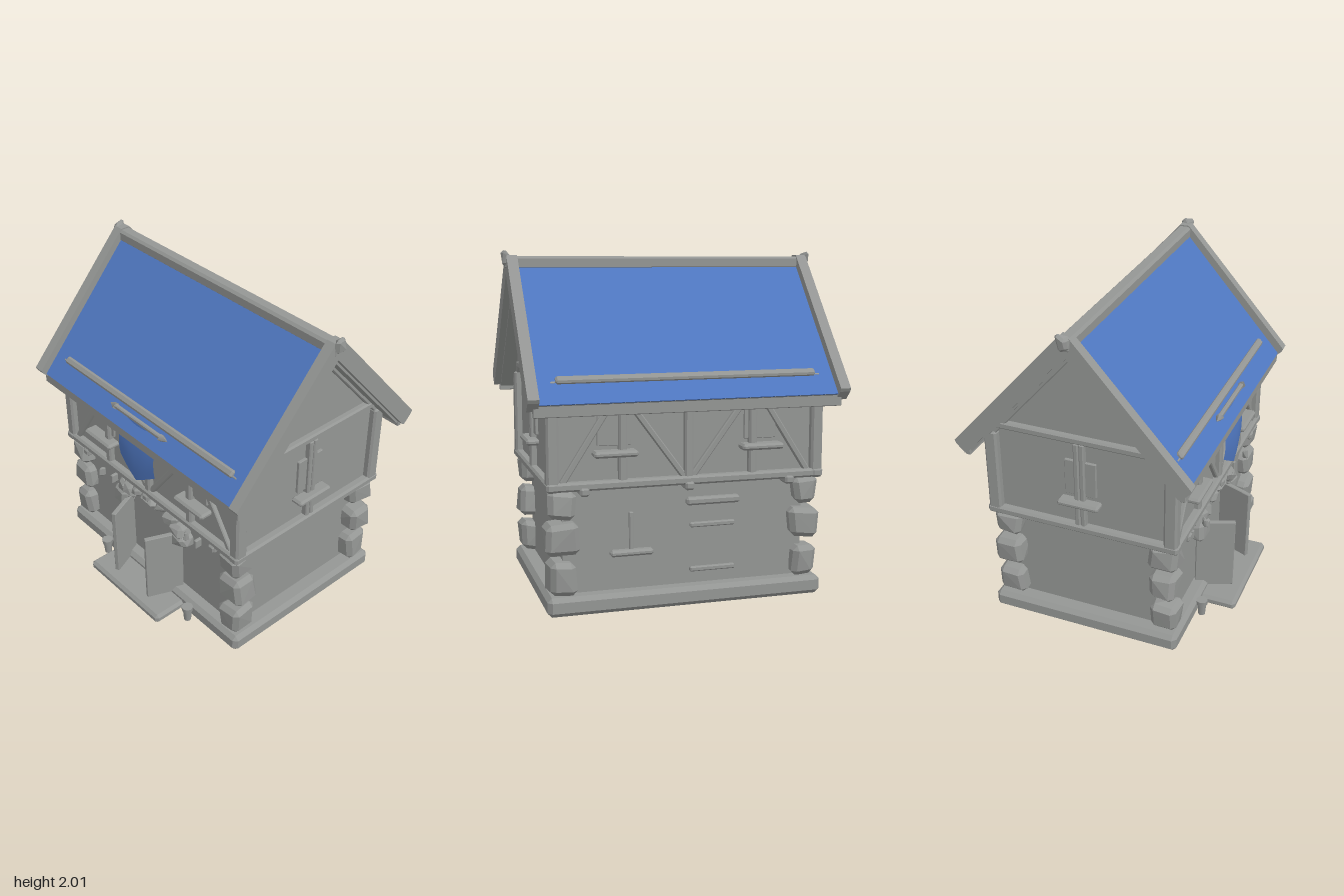
import * as THREE from 'three';
import { ConvexGeometry } from 'three/addons/geometries/ConvexGeometry.js';

const grey = new THREE.MeshStandardMaterial({ color: 0x949694 });
grey.name = 'timber and stone grey';
const blue = new THREE.MeshStandardMaterial({ color: 0x4f77c0, side: THREE.DoubleSide });
blue.name = 'roof blue';

const MID = -0.05;            // z of the ridge line
const SLOPE = 1.13;           // roof rise over run
const PITCH = Math.atan(SLOPE);

let seed = 7;
const rand = () => {
  seed = (seed * 16807) % 2147483647;
  return seed / 2147483647 - 0.5;
};

function add(parent, name, geometry, x = 0, y = 0, z = 0, material = grey) {
  const mesh = new THREE.Mesh(geometry, material);
  mesh.name = name;
  mesh.position.set(x, y, z);
  parent.add(mesh);
  return mesh;
}

// Box with chamfered edges; jitter makes it a rough stone
function block(w, h, d, c = 0.01, jitter = 0) {
  const points = [];
  for (const sx of [-1, 1]) for (const sy of [-1, 1]) for (const sz of [-1, 1]) {
    const jx = rand() * jitter, jy = rand() * jitter, jz = rand() * jitter;
    for (let axis = 0; axis < 3; axis++) {
      const cut = [c, c, c];
      cut[axis] = 0;
      points.push(new THREE.Vector3(
        sx * (w / 2 - cut[0]) + jx, sy * (h / 2 - cut[1]) + jy, sz * (d / 2 - cut[2]) + jz));
    }
  }
  return new ConvexGeometry(points);
}

// Prism along x from a (z, y) outline, centred on x = 0
function prism(outline, width) {
  const shape = new THREE.Shape(outline.map(([z, y]) => new THREE.Vector2(z, y)));
  return new THREE.ExtrudeGeometry(shape, { depth: width, bevelEnabled: false })
    .translate(0, 0, -width / 2).rotateY(-Math.PI / 2);
}

// Straight timber between two points of a wall plane
function brace(parent, name, [x1, y1], [x2, y2], z, w = 0.035) {
  const mesh = add(parent, name, block(w, Math.hypot(x2 - x1, y2 - y1), 0.04, 0.006),
    (x1 + x2) / 2, (y1 + y2) / 2, z);
  mesh.rotation.z = -Math.atan2(x2 - x1, y2 - y1);
}

function wallGroup(parent, name, turn) {
  const group = new THREE.Group();
  group.name = name;
  group.position.z = MID;
  group.rotation.y = turn;
  parent.add(group);
  return group;
}

// Timber frame and windows of a long upper wall
function longWall(parent, name, turn) {
  const g = wallGroup(parent, name, turn);
  add(g, 'sillBeam', block(1.62, 0.05, 0.06, 0.012), 0, 0.735, 0.555);
  add(g, 'centrePost', block(0.05, 0.5, 0.05), 0, 0.98, 0.55);
  for (const s of [-1, 1]) {
    add(g, 'windowPanel', block(0.19, 0.22, 0.02, 0.003), s * 0.427, 1.06, 0.543);
    add(g, 'windowPost', block(0.048, 0.5, 0.05), s * 0.38, 0.98, 0.55);
    add(g, 'windowSill', block(0.25, 0.036, 0.09, 0.012), s * 0.427, 0.91, 0.575);
    brace(g, 'outerBrace', [s * 0.72, 0.75], [s * 0.45, 1.17], 0.545);
    brace(g, 'innerBrace', [s * 0.02, 0.75], [s * 0.33, 1.17], 0.545);
  }
}

// Timber frame and window of a gable wall
function gableWall(parent, name, turn) {
  const g = wallGroup(parent, name, turn);
  add(g, 'sillBeam', block(1.16, 0.05, 0.06, 0.012), 0, 0.735, 0.78);
  add(g, 'tieBeam', block(1.06, 0.045, 0.05), 0, 1.308, 0.775);
  add(g, 'windowPanel', block(0.19, 0.22, 0.02, 0.003), 0, 1.06, 0.772);
  for (const s of [-1, 1]) {
    add(g, 'windowPost', block(0.03, 0.54, 0.05, 0.006), s * 0.017, 1.02, 0.775);
    brace(g, 'gableTrim', [s * 0.52, 1.255], [0, 1.845], 0.775, 0.03);
  }
  add(g, 'windowSill', block(0.25, 0.036, 0.08, 0.012), 0, 0.91, 0.8);
}

function roof(parent) {
  const g = wallGroup(parent, 'roof', 0);
  // Slab and its blue covering
  add(g, 'roofSlab', prism([[0.658, 1.198], [0, 1.942], [-0.658, 1.198],
    [-0.613, 1.158], [0, 1.852], [0.613, 1.158]], 1.76));
  const length = Math.hypot(0.66, 0.66 * SLOPE);
  for (const s of [-1, 1]) {
    const cover = add(g, 'roofCovering', new THREE.BoxGeometry(1.74, 0.006, length),
      0, 1.573, s * 0.33, blue);
    cover.rotation.x = s * PITCH;
    add(g, 'eaveBoard', block(1.77, 0.068, 0.03, 0.004), 0, 1.165, s * 0.637);
    // Snow bar with end pins
    const bar = add(g, 'snowBar', block(1.5, 0.045, 0.045), 0, 1.315, s * 0.56);
    bar.rotation.x = s * PITCH;
    add(g, 'snowBarPin', block(1.56, 0.022, 0.022, 0.005), 0, 1.302, s * 0.56);
    // Barge boards at the gable ends
    add(g, 'bargeBoards', prism([[0.695, 1.235], [0.03, 1.98], [-0.03, 1.98], [-0.695, 1.235],
      [-0.685, 1.215], [-0.635, 1.165], [-0.62, 1.169], [0, 1.872], [0.62, 1.169],
      [0.635, 1.165], [0.685, 1.215]], 0.062), s * 0.888);
    add(g, 'ridgeKnob', block(0.045, 0.08, 0.06, 0.015, 0.025), s * 0.92, 1.955, 0);
  }
  add(g, 'ridgeBeam', block(1.85, 0.075, 0.08, 0.014), 0, 1.935, 0);
}

function doorway(parent) {
  const g = new THREE.Group();
  g.name = 'doorway';
  parent.add(g);
  add(g, 'doorStep', block(0.67, 0.06, 0.3, 0.018), 0, 0.048, 0.595);
  // Open door leaves, leaning inward at the front
  for (const s of [-1, 1]) {
    const leaf = add(g, 'doorLeaf', block(0.03, 0.47, 0.235, 0.004), s * 0.198, 0.315, 0.565);
    leaf.rotation.y = -s * 0.4;
    // Rough arch stones
    for (const [x, y, w, h] of [[0.285, 0.54, 0.11, 0.1], [0.265, 0.605, 0.11, 0.1],
      [0.195, 0.64, 0.09, 0.09], [0.11, 0.675, 0.09, 0.06]]) {
      add(g, 'archStone', block(w, h, 0.11, 0.022, 0.03), s * x, y, 0.475);
    }
    // Lantern on a peg, and a flower pot below
    add(g, 'lanternPeg', block(0.022, 0.06, 0.06, 0.005), s * 0.405, 0.575, 0.465);
    add(g, 'lanternHook', block(0.03, 0.06, 0.03, 0.008, 0.015), s * 0.405, 0.68, 0.56);
    add(g, 'flowerPot', new THREE.CylinderGeometry(0.028, 0.022, 0.08, 8), s * 0.405, 0.04, 0.56);
    add(g, 'flowerPotRim', new THREE.CylinderGeometry(0.036, 0.034, 0.03, 8), s * 0.405, 0.09, 0.56);
  }
  add(g, 'keystone', block(0.13, 0.06, 0.11, 0.02, 0.025), 0, 0.67, 0.475);
}

function banner(parent) {
  const g = new THREE.Group();
  g.name = 'banner';
  parent.add(g);
  // Pole with spear ends
  add(g, 'bannerPole', block(0.44, 0.026, 0.026, 0.006), 0, 1.278, 0.56);
  for (const s of [-1, 1]) {
    const tip = add(g, 'poleTip', new THREE.ConeGeometry(0.027, 0.055, 4), s * 0.232, 1.278, 0.56);
    tip.rotation.z = -s * Math.PI / 2;
  }
  // Cloth that bellies forward and ends in a point
  const cloth = new THREE.PlaneGeometry(0.32, 0.3, 6, 6);
  const p = cloth.attributes.position;
  for (let i = 0; i < p.count; i++) {
    const x = p.getX(i), t = 0.5 - p.getY(i) / 0.3;
    p.setY(i, 1.27 - t * (0.3 + 0.1 * (1 - Math.abs(x) / 0.16)));
    p.setZ(i, 0.565 + 0.04 * Math.sin(t * 2.2) - 0.6 * x * x);
  }
  cloth.computeVertexNormals();
  add(g, 'bannerCloth', cloth, 0, 0, 0, blue);
}

export function createModel() {
  const model = new THREE.Group();
  model.name = 'house';

  // Plinth, stone storey and overhanging upper storey
  add(model, 'plinth', block(1.62, 0.11, 1.17, 0.025), 0, 0.063, MID);
  add(model, 'lowerWall', new THREE.BoxGeometry(1.42, 0.66, 1.0), 0, 0.41, MID);
  add(model, 'upperWall', prism([[-0.54, 0.71], [0.54, 0.71], [0.54, 1.23],
    [0, 1.85], [-0.54, 1.23]], 1.53), 0, 0, MID);

  // Corner stones and corner posts
  for (const sx of [-1, 1]) for (const sz of [-1, 1]) {
    for (const [y, w, h, out] of [[0.21, 0.15, 0.18, 0.715], [0.44, 0.18, 0.17, 0.715],
      [0.635, 0.15, 0.16, 0.715]]) {
      add(model, 'cornerStone', block(w, h, 0.17, 0.028, 0.025), sx * out, y, MID + sz * 0.487);
    }
    add(model, 'cornerPost', block(0.07, 0.52, 0.08, 0.012), sx * 0.772, 1.0, MID + sz * 0.54);
    add(model, 'beamEnd', block(0.07, 0.055, 0.07, 0.014), sx * 0.775, 0.735, MID + sz * 0.553);
  }

  // Joist ends under the overhang
  for (const x of [-0.6, 0, 0.6]) for (const s of [-1, 1]) {
    add(model, 'joistEnd', block(0.055, 0.05, 0.14, 0.012), x, 0.705, MID + s * 0.525);
  }

  longWall(model, 'frontUpperFrame', 0);
  longWall(model, 'backUpperFrame', Math.PI);
  gableWall(model, 'leftGableFrame', Math.PI / 2);
  gableWall(model, 'rightGableFrame', -Math.PI / 2);

  // Sill, post and rails on the back of the stone storey
  add(model, 'backSill', block(0.25, 0.036, 0.06, 0.012), 0.32, 0.33, -0.56);
  add(model, 'backWindowPost', block(0.025, 0.22, 0.02, 0.005), 0.32, 0.45, -0.555);
  add(model, 'backLintel', block(0.32, 0.045, 0.05, 0.012), -0.16, 0.6, -0.56);
  for (const y of [0.46, 0.2]) {
    add(model, 'backRail', block(0.27, 0.028, 0.03, 0.006), -0.16, y, -0.555);
  }

  roof(model);
  doorway(model);
  banner(model);
  return model;
}
